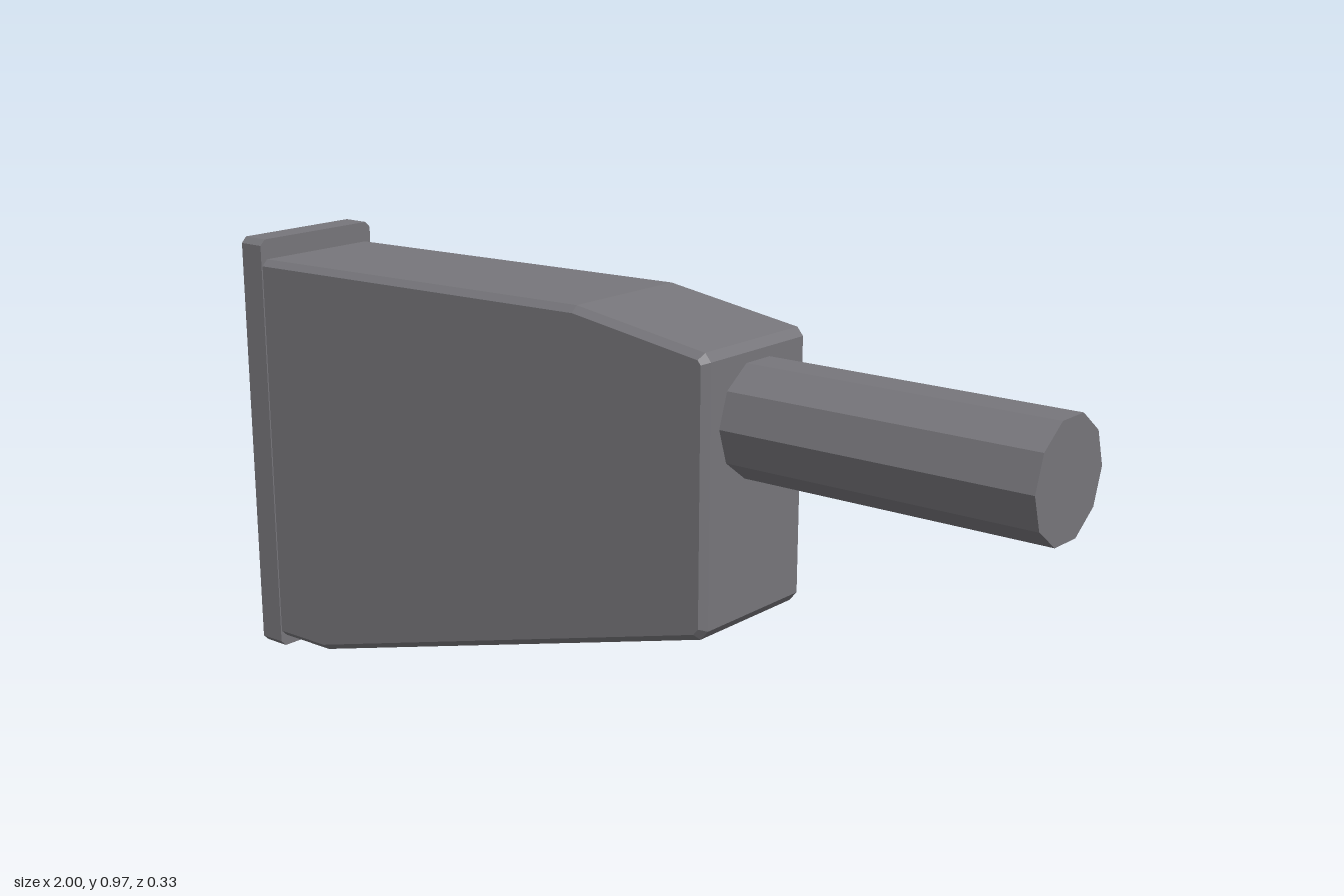
import * as THREE from 'three';

const shapeOf = (points) => new THREE.Shape(points.map(([x, y]) => new THREE.Vector2(x, y)));

export function createModel() {
  const model = new THREE.Group();
  model.name = 'model';
  const grey = new THREE.MeshStandardMaterial({ color: 0x77767b, flatShading: true });
  grey.name = 'dark grey';

  const add = (name, geometry) => {
    const mesh = new THREE.Mesh(geometry, grey);
    mesh.name = name;
    model.add(mesh);
    return mesh;
  };

  // Tapered body: side profile with narrow chamfers along its edges
  const bevel = 0.014;
  const halfDepth = 0.164;
  const body = new THREE.ExtrudeGeometry(shapeOf([
    [-0.97, 0.025], [-0.79, 0.025], [0.302, 0.314], [0.32, 0.335],
    [0.32, 0.876], [0.306, 0.893], [-0.015, 0.942], [-0.97, 0.924],
  ]), {
    depth: 2 * (halfDepth - bevel), bevelEnabled: true, bevelSegments: 1,
    bevelSize: bevel, bevelThickness: bevel, bevelOffset: -bevel,
  });
  body.translate(0, 0, bevel - halfDepth);
  add('body', body);

  // End flange: rectangle with clipped corners, extruded along x
  const w = 0.167, h = 0.97, c = 0.013;
  const flange = new THREE.ExtrudeGeometry(shapeOf([
    [-w + c, 0], [w - c, 0], [w, c], [w, h - c],
    [w - c, h], [-w + c, h], [-w, h - c], [-w, c],
  ]), { depth: 0.063, bevelEnabled: false });
  flange.rotateY(Math.PI / 2).translate(-1, 0, 0);
  add('endFlange', flange);

  // Ten-sided rod leaving the narrow end
  const rod = new THREE.CylinderGeometry(0.122, 0.122, 0.7, 10);
  rod.rotateZ(-Math.PI / 2).translate(0.65, 0.739, 0);
  add('rod', rod);

  return model;
}
